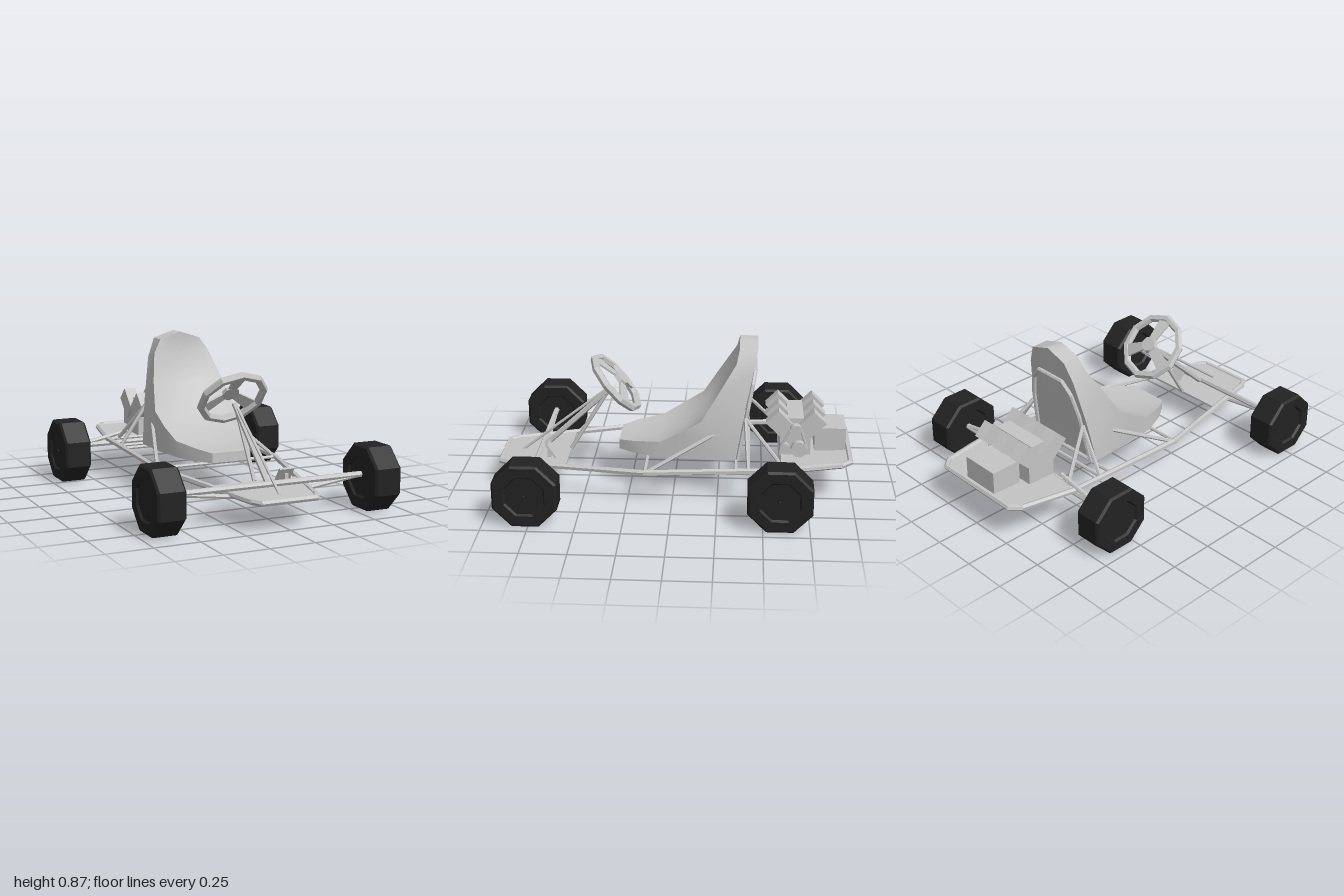
import * as THREE from 'three';
import { toCreasedNormals } from 'three/addons/utils/BufferGeometryUtils.js';

export function createModel() {
  const kart = new THREE.Group();
  kart.name = 'goKart';
  const metal = new THREE.MeshStandardMaterial({ color: 0xc4c4c4 });
  metal.name = 'light grey';
  const rubber = new THREE.MeshStandardMaterial({ color: 0x222222 });
  rubber.name = 'tyre black';

  const V = (x, y, z) => new THREE.Vector3(x, y, z);
  const group = (name) => {
    const g = new THREE.Group();
    g.name = name;
    kart.add(g);
    return g;
  };
  const add = (parent, name, geo, mat = metal) => {
    const m = new THREE.Mesh(geo, mat);
    m.name = name;
    parent.add(m);
    return m;
  };
  const flat = (geo) => toCreasedNormals(geo, 0.1);
  const box = (parent, name, w, h, d, x, y, z, rx = 0) => {
    const m = add(parent, name, new THREE.BoxGeometry(w, h, d));
    m.position.set(x, y, z);
    m.rotation.x = rx;
    return m;
  };
  // Straight tube between two points
  const rod = (parent, name, a, b, r = 0.012, r2 = r) => {
    const m = add(parent, name, toCreasedNormals(new THREE.CylinderGeometry(r2, r, a.distanceTo(b), 6), 0.6));
    m.position.copy(a).add(b).multiplyScalar(0.5);
    m.quaternion.setFromUnitVectors(V(0, 1, 0), b.clone().sub(a).normalize());
    return m;
  };
  const chain = (parent, name, pts, r, closed = false) => {
    const n = pts.length;
    for (let i = 0; i < (closed ? n : n - 1); i++) {
      const a = pts[i], b = pts[(i + 1) % n];
      const d = b.clone().sub(a).normalize().multiplyScalar(r * 0.35);
      rod(parent, name, a.clone().sub(d), b.clone().add(d), r);
    }
  };
  const floorY = (z) => 0.19 - 0.04 * z;

  // Perimeter tube, sloping up toward the rear
  const frame = group('frame');
  const half = [[0.155, 0.982], [0.185, 0.93], [0.367, 0.15], [0.367, -0.61], [0.308, -0.93], [0.262, -0.982]];
  const loop = [...half, ...half.map(([x, z]) => [-x, z]).reverse()];
  chain(frame, 'perimeterTube', loop.map(([x, z]) => V(x, floorY(z), z)), 0.017, true);
  for (const z of [0.15, -0.35, -0.42, -0.6]) {
    rod(frame, 'crossTube', V(-0.36, floorY(z), z), V(0.36, floorY(z), z), 0.01);
  }

  // Floor pans at both ends
  const pan = (name, corners) => {
    const shape = new THREE.Shape(corners.map(([x, z]) => new THREE.Vector2(x, z)));
    const geo = new THREE.ExtrudeGeometry(shape, { depth: 0.012, bevelEnabled: false });
    geo.rotateX(Math.PI / 2);
    const p = geo.attributes.position;
    for (let i = 0; i < p.count; i++) p.setY(i, p.getY(i) + floorY(p.getZ(i)) + 0.006);
    geo.computeVertexNormals();
    add(frame, name, geo);
  };
  const mirrored = (pts) => [...pts, ...pts.map(([x, z]) => [-x, z]).reverse()];
  pan('frontPan', mirrored([[0.262, 0.6], [0.185, 0.93], [0.155, 0.982]]));
  pan('rearPan', mirrored([[0.367, -0.6], [0.308, -0.93], [0.262, -0.982]]));

  // Octagonal wheels and axles
  for (const [name, z] of [['front', 0.765], ['rear', -0.59]]) {
    const axle = group(name + 'Axle');
    const zAxle = name === 'front' ? 0.765 : -0.605;
    rod(axle, 'axleTube', V(-0.56, 0.19, zAxle), V(0.56, 0.19, zAxle), 0.017);
    for (const s of [-1, 1]) {
      const inner = name === 'front' ? V(0.19 * s, 0.142, zAxle) : V(0.25 * s, 0.255, zAxle);
      rod(axle, 'axleBrace', V(0.56 * s, 0.19, zAxle), inner, 0.013);
      if (name === 'rear') rod(axle, 'axleUpright', inner, V(0.33 * s, floorY(z), zAxle), 0.011);
      const R = 0.174 / Math.cos(Math.PI / 8);
      const prof = [[0.001, -0.066], [0.11, -0.066], [0.12, -0.078], [R - 0.012, -0.078], [R, -0.066],
        [R, 0.066], [R - 0.012, 0.078], [0.12, 0.078], [0.11, 0.066], [0.001, 0.066]];
      const geo = new THREE.LatheGeometry(prof.map(([r, h]) => new THREE.Vector2(r, h)), 8);
      geo.rotateY(Math.PI / 8);
      geo.rotateZ(Math.PI / 2);
      add(axle, 'wheel', flat(geo), rubber).position.set(0.623 * s, 0.174, z);
    }
  }

  // Bucket seat: front z,y / back z,y / half width / hollow depth
  const stations = [
    [0.31, 0.275, 0.31, 0.22, 0.11, 0],
    [0.23, 0.29, 0.23, 0.22, 0.165, 0.012],
    [0.075, 0.31, 0.1, 0.22, 0.22, 0.025],
    [-0.04, 0.375, -0.1, 0.22, 0.243, 0.035],
    [-0.155, 0.445, -0.345, 0.22, 0.25, 0.045],
    [-0.25, 0.6, -0.39, 0.47, 0.218, 0.04],
    [-0.345, 0.755, -0.44, 0.72, 0.172, 0.02],
    [-0.362, 0.83, -0.462, 0.83, 0.125, 0],
  ];
  const us = [-1, -0.75, -0.4, 0, 0.4, 0.75, 1];
  const seatPos = [], seatIdx = [], n = us.length * 2;
  stations.forEach(([fz, fy, bz, by, w, dip], k) => {
    const dir = new THREE.Vector2(bz - fz, by - fy).normalize();
    const crown = k === stations.length - 1 ? 0.04 : 0;
    for (const u of us) {
      const c = 1 - u * u, top = crown * (1 - Math.abs(u));
      seatPos.push(u * w, fy + dir.y * dip * c + top, fz + dir.x * dip * c);
    }
    for (const u of [...us].reverse()) seatPos.push(u * w, by + crown * (1 - Math.abs(u)), bz);
  });
  for (let k = 0; k < stations.length - 1; k++) {
    for (let i = 0; i < n; i++) {
      const a = k * n + i, b = k * n + (i + 1) % n;
      seatIdx.push(a, b, b + n, a, b + n, a + n);
    }
  }
  const last = (stations.length - 1) * n;
  for (let i = 0; i < us.length - 1; i++) {
    const a = i, b = i + 1, c = n - 2 - i, d = n - 1 - i;
    seatIdx.push(a, c, b, a, d, c);
    seatIdx.push(last + a, last + b, last + c, last + a, last + c, last + d);
  }
  const seatGeo = new THREE.BufferGeometry();
  seatGeo.setAttribute('position', new THREE.Float32BufferAttribute(seatPos, 3));
  seatGeo.setIndex(seatIdx);
  add(kart, 'seat', toCreasedNormals(seatGeo, 0.62));

  // Hoop and stays that carry the seat
  const stays = group('seatStays');
  const hoop = [[0.215, 0.21, -0.36], [0.185, 0.5, -0.412], [0.15, 0.63, -0.437], [0.09, 0.7, -0.45]];
  chain(stays, 'seatHoop', [...hoop, ...hoop.map(([x, y, z]) => [-x, y, z]).reverse()].map((p) => V(...p)), 0.012);
  for (const s of [-1, 1]) {
    rod(stays, 'sideStay', V(0.36 * s, 0.19, 0.13), V(0.225 * s, 0.39, -0.27), 0.011);
    rod(stays, 'uprightStay', V(0.355 * s, 0.21, -0.42), V(0.2 * s, 0.45, -0.4), 0.011);
    rod(stays, 'rearStay', V(0.3 * s, 0.22, -0.6), V(0.2 * s, 0.45, -0.4), 0.011);
  }

  // Steering wheel, tilted toward the driver
  const steering = group('steeringWheel');
  steering.position.set(0, 0.578, 0.335);
  steering.rotation.set(Math.PI + 0.72, 0, 0);
  const rim = new THREE.TorusGeometry(0.181, 0.023, 6, 10);
  rim.rotateZ(Math.PI / 10);
  add(steering, 'rim', flat(rim));
  const spoke = new THREE.Shape([[-0.022, 0.02], [0.022, 0.02], [0.04, 0.172], [-0.04, 0.172]].map(([x, y]) => new THREE.Vector2(x, y)));
  for (let i = 0; i < 3; i++) {
    const g = new THREE.ExtrudeGeometry(spoke, { depth: 0.012, bevelEnabled: false });
    // Spokes dish down to the hub
    const p = g.attributes.position;
    for (let j = 0; j < p.count; j++) p.setZ(j, p.getZ(j) + 0.035 * (1 - p.getY(j) / 0.172));
    g.computeVertexNormals();
    g.rotateZ(Math.PI + i * Math.PI * 2 / 3);
    add(steering, 'spoke', g);
  }
  const hub = new THREE.CylinderGeometry(0.045, 0.05, 0.025, 8);
  hub.rotateX(Math.PI / 2);
  add(steering, 'hub', flat(hub)).position.z = 0.038;

  // Steering column and its supports
  const column = group('steeringColumn');
  const top = V(0, 0.55, 0.36);
  rod(column, 'columnShaft', top, V(0, 0.19, 0.75), 0.016);
  rod(column, 'frontSupport', V(0, 0.53, 0.4), V(0, 0.155, 0.885), 0.008);
  rod(column, 'rearSupport', V(0, 0.53, 0.38), V(0, 0.17, 0.6), 0.012);

  // Pedal
  const pedal = group('pedal');
  box(pedal, 'pedalPlate', 0.085, 0.09, 0.012, 0.128, 0.215, 0.695, 0.6);
  box(pedal, 'pedalStem', 0.02, 0.07, 0.02, 0.128, 0.19, 0.71);

  // Engine with two banks of three cylinders
  const engine = group('engine');
  box(engine, 'crankcase', 0.33, 0.16, 0.17, -0.01, 0.29, -0.68);
  box(engine, 'intake', 0.29, 0.09, 0.09, -0.01, 0.388, -0.68);
  for (const x of [-0.155, -0.012, 0.132]) {
    for (const s of [-1, 1]) {
      box(engine, 'cylinder', 0.07, 0.15, 0.1, x, 0.396, -0.682 + 0.08 * s, s * 0.785);
    }
  }
  const pulley = (r, y, z) => {
    const g = new THREE.CylinderGeometry(r, r, 0.04, 10);
    g.rotateZ(Math.PI / 2);
    add(engine, 'pulley', toCreasedNormals(g, 0.7)).position.set(0.182, y, z);
  };
  pulley(0.032, 0.385, -0.68);
  pulley(0.045, 0.27, -0.7);
  pulley(0.025, 0.28, -0.62);
  rod(engine, 'belt', V(0.19, 0.385, -0.71), V(0.19, 0.27, -0.745), 0.007);
  rod(engine, 'belt', V(0.19, 0.385, -0.65), V(0.19, 0.28, -0.597), 0.007);

  // Fuel tank
  box(engine, 'fuelTank', 0.225, 0.14, 0.175, -0.01, 0.293, -0.877);
  return kart;
}
